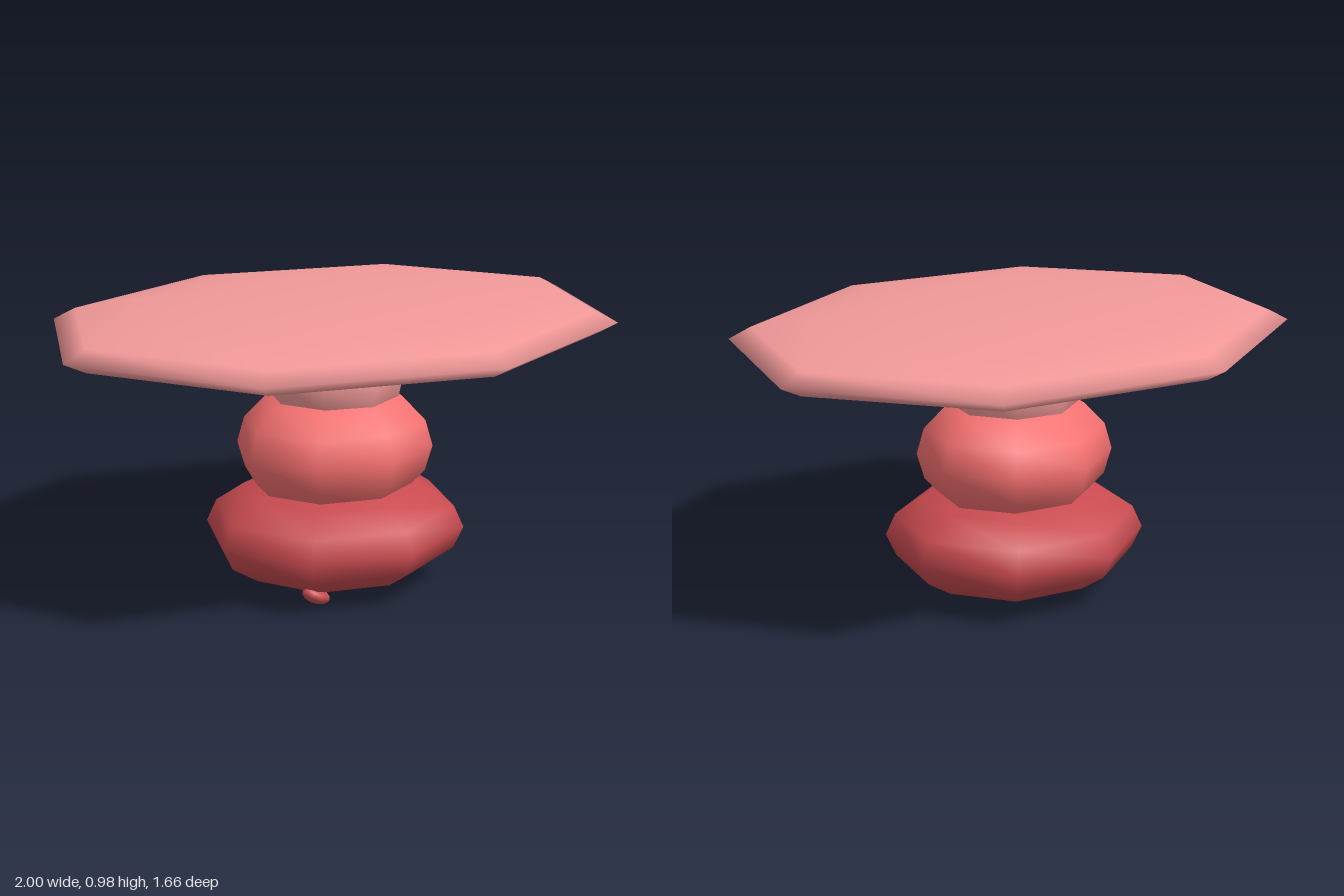
import * as THREE from 'three';

// One low-poly, smooth-shaded ellipsoid
function ellipsoid(name, color, center, radii) {
  const geometry = new THREE.SphereGeometry(1, 8, 8);
  const mesh = new THREE.Mesh(geometry, new THREE.MeshStandardMaterial({ color }));
  mesh.name = name;
  mesh.position.set(...center);
  mesh.scale.set(...radii);
  return mesh;
}

export function createModel() {
  const model = new THREE.Group();
  model.name = 'table';

  // Stacked pedestal stones, widest at the bottom
  model.add(ellipsoid('baseStone', 0xc94b50, [0, 0.195, 0], [0.45, 0.19, 0.415]));
  model.add(ellipsoid('middleStone', 0xf77070, [0, 0.475, 0], [0.34, 0.226, 0.31]));
  model.add(ellipsoid('neckStone', 0xf29999, [0, 0.715, 0], [0.235, 0.2, 0.22]));

  // Wide, thin octagonal top
  model.add(ellipsoid('tableTop', 0xf29999, [0, 0.89, 0], [1, 0.095, 0.83]));

  // Small pebble half sunk into the underside of the base
  const pebble = ellipsoid('pebble', 0xc94b50, [-0.222, 0.046, 0.19], [0.052, 0.026, 0.04]);
  pebble.rotation.z = -0.4;
  model.add(pebble);

  return model;
}
